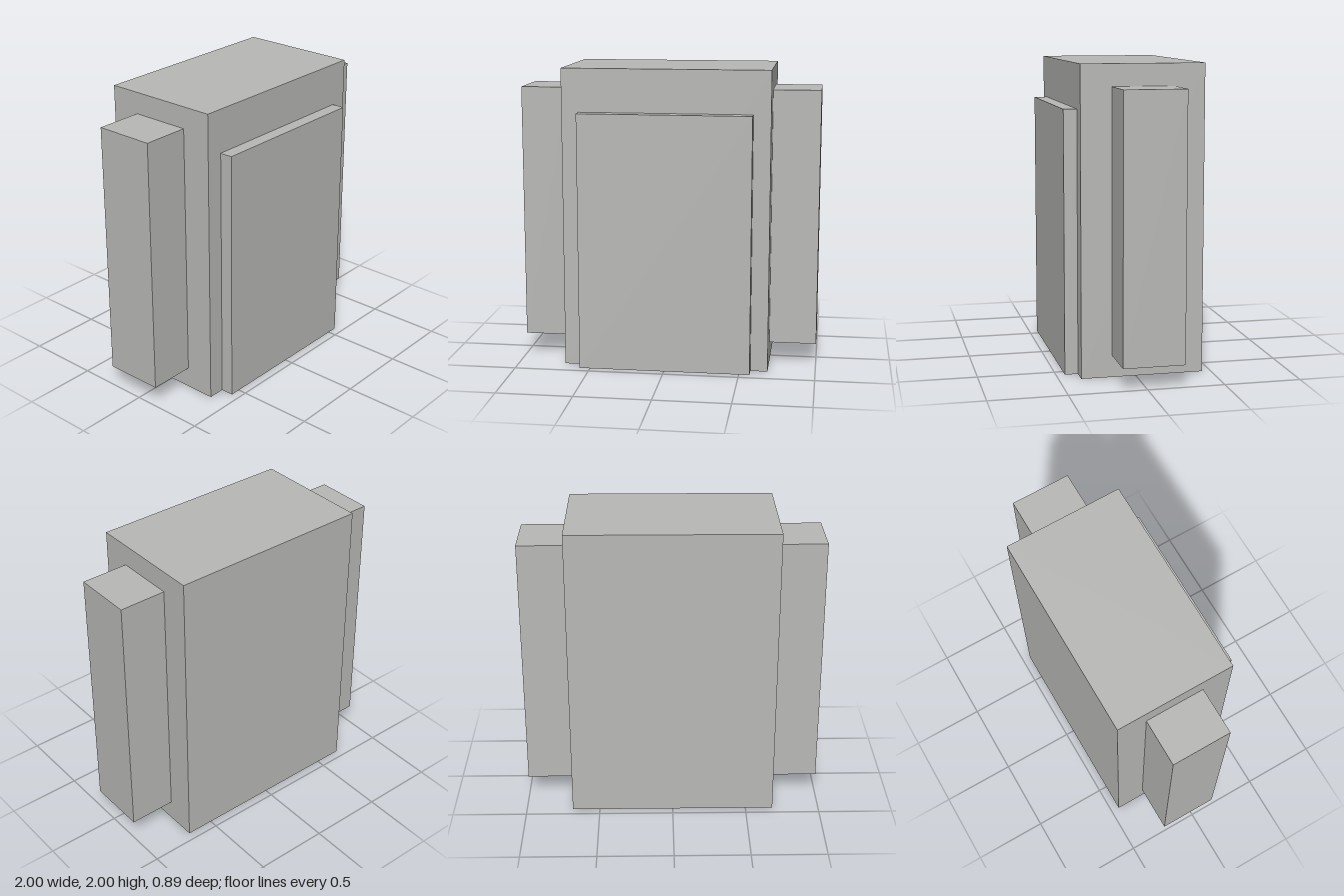
import * as THREE from 'three';

export function createModel() {
  const model = new THREE.Group();
  model.name = 'boxyPack';
  const grey = new THREE.MeshStandardMaterial({ color: 0xb8b8b6 });
  grey.name = 'grey';

  // Box given by its minimum and maximum corners
  function block(name, min, max) {
    const size = max.map((v, i) => v - min[i]);
    const mesh = new THREE.Mesh(new THREE.BoxGeometry(...size), grey);
    mesh.position.set(...min.map((v, i) => (v + max[i]) / 2));
    mesh.name = name;
    model.add(mesh);
  }

  // Main body and the raised panel on its front
  block('body', [-0.685, 0, -0.443], [0.685, 2, 0.357]);
  block('frontPanel', [-0.571, 0, 0.357], [0.571, 1.714, 0.443]);

  // Side blocks, mirrored
  block('leftSideBlock', [0.685, 0.143, -0.243], [1, 1.857, 0.157]);
  block('rightSideBlock', [-1, 0.143, -0.243], [-0.685, 1.857, 0.157]);

  return model;
}
